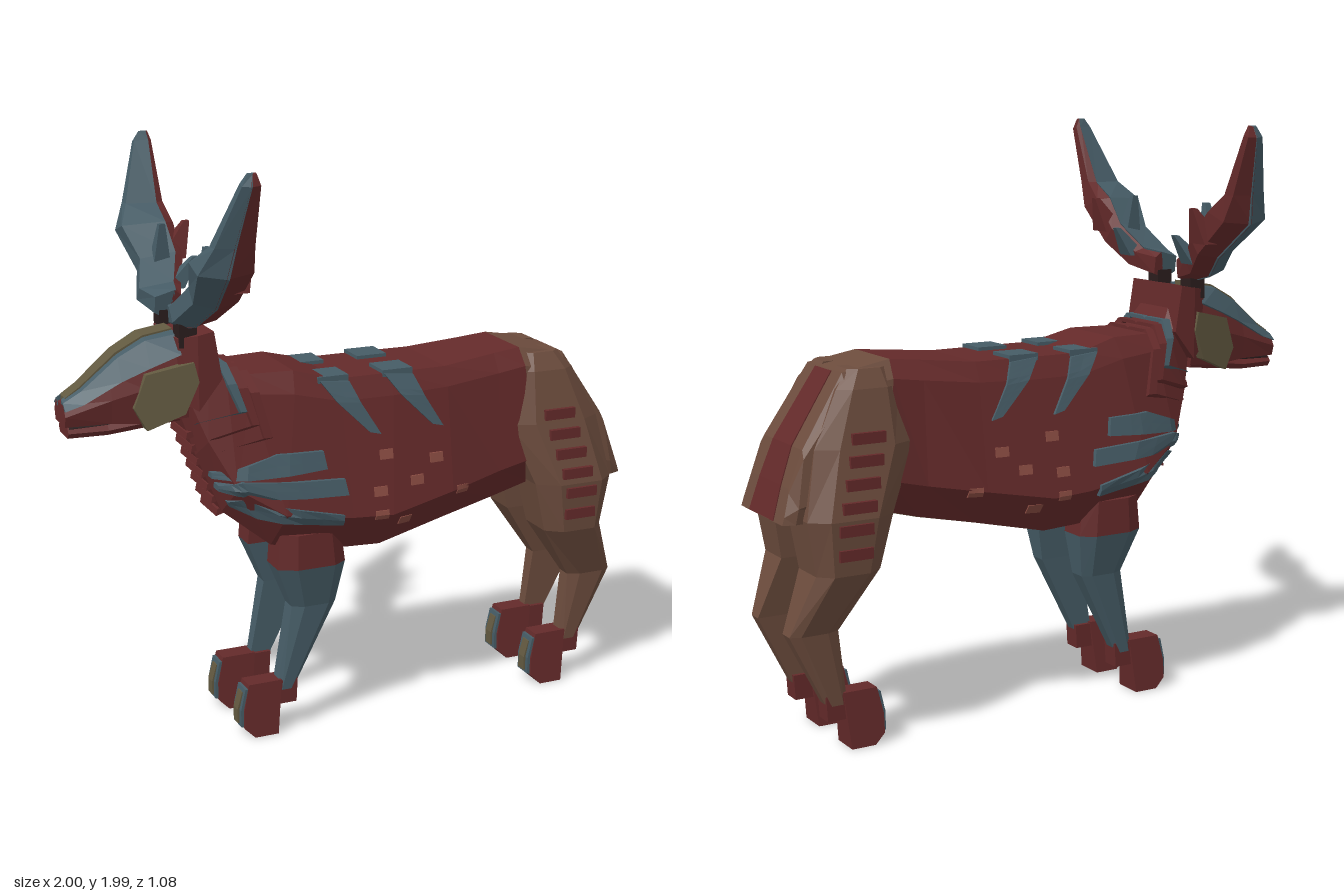
import * as THREE from 'three';

const mat = (color) => new THREE.MeshStandardMaterial({ color, flatShading: true });
const RED = mat(0x642a2a), BLUE = mat(0x465c66), BROWN = mat(0x6c4c3d),
  OLIVE = mat(0x625940), DARK = mat(0x2b1d1d), SPOT = mat(0x8a4c42);
const lerp = THREE.MathUtils.lerp;

// Closed solid through rings of [x, y, z] points; winding is fixed by the sign of its volume.
function loft(rings) {
  const tris = [], n = rings[0].length;
  for (let r = 0; r + 1 < rings.length; r++) {
    for (let i = 0; i < n; i++) {
      const j = (i + 1) % n, a = rings[r], b = rings[r + 1];
      tris.push([a[i], a[j], b[j]], [a[i], b[j], b[i]]);
    }
  }
  [rings[0], rings[rings.length - 1]].forEach((ring, end) => {
    const c = [0, 1, 2].map((k) => ring.reduce((s, p) => s + p[k], 0) / n);
    ring.forEach((p, i) => {
      const q = ring[(i + 1) % n];
      tris.push(end ? [c, p, q] : [c, q, p]);
    });
  });
  let volume = 0;
  for (const [a, b, c] of tris) {
    volume += a[0] * (b[1] * c[2] - b[2] * c[1]) + a[1] * (b[2] * c[0] - b[0] * c[2]) + a[2] * (b[0] * c[1] - b[1] * c[0]);
  }
  if (volume < 0) tris.forEach((t) => t.reverse());
  const g = new THREE.BufferGeometry();
  g.setAttribute('position', new THREE.Float32BufferAttribute(tris.flat(2), 3));
  g.computeVertexNormals();
  return g;
}

// Body sections: top x, top y, bottom x, bottom y, then half widths from top to bottom.
const SECTIONS = [
  [-0.52, 1.36, -0.61, 1.13, 0.08, 0.11, 0.10, 0.05],
  [-0.47, 1.28, -0.57, 1.00, 0.11, 0.145, 0.14, 0.07],
  [-0.40, 1.27, -0.49, 0.80, 0.125, 0.165, 0.20, 0.09],
  [-0.25, 1.27, -0.34, 0.68, 0.14, 0.18, 0.255, 0.15],
  [-0.10, 1.23, -0.08, 0.645, 0.155, 0.185, 0.26, 0.18],
  [0.10, 1.23, 0.05, 0.635, 0.155, 0.185, 0.265, 0.17],
  [0.30, 1.23, 0.30, 0.69, 0.15, 0.18, 0.235, 0.15],
  [0.50, 1.25, 0.50, 0.73, 0.13, 0.17, 0.195, 0.13],
  [0.60, 1.26, 0.65, 0.77, 0.125, 0.165, 0.20, 0.13],
  [0.77, 1.23, 0.76, 0.77, 0.13, 0.165, 0.20, 0.15],
  [0.92, 1.00, 0.96, 0.77, 0.15, 0.17, 0.185, 0.18],
  [0.965, 0.88, 1.00, 0.77, 0.14, 0.15, 0.165, 0.165],
];
const LEVELS = [1, 0.88, 0.22, 0];
const sectionRing = ([xt, yt, xb, yb, ...w]) => {
  const half = LEVELS.map((t, i) => [lerp(xb, xt, t), lerp(yb, yt, t), w[i]]);
  return [...half, ...half.slice().reverse().map(([x, y, z]) => [x, y, -z])];
};

// Half width of the body at a point of its side.
function flank(x, y) {
  const at = SECTIONS.map(([xt, yt, xb, yb, ...w]) => {
    const t = THREE.MathUtils.clamp((y - yb) / (yt - yb), 0, 1);
    const i = t > LEVELS[1] ? 0 : t > LEVELS[2] ? 1 : 2;
    return [lerp(xb, xt, t), lerp(w[i + 1], w[i], (t - LEVELS[i + 1]) / (LEVELS[i] - LEVELS[i + 1]))];
  });
  let k = 0;
  while (k < at.length - 2 && at[k + 1][0] < x) k++;
  const s = THREE.MathUtils.clamp((x - at[k][0]) / (at[k + 1][0] - at[k][0]), 0, 1);
  return lerp(at[k][1], at[k + 1][1], s);
}

// Plate between two edges that follows the flank: each edge is a path with the same number of points.
function plate(edgeA, edgeB, lift) {
  const rings = [];
  for (let i = 0; i + 1 < edgeA.length; i++) {
    for (let s = i ? 1 : 0; s <= 4; s++) {
      const [a, b] = [edgeA, edgeB].map((e) => [0, 1].map((k) => lerp(e[i][k], e[i + 1][k], s / 4)));
      const m = [(a[0] + b[0]) / 2, (a[1] + b[1]) / 2];
      const at = ([x, y], d) => [x, y, flank(x, y) + d];
      rings.push([at(a, lift), at(m, lift), at(b, lift), at(b, -0.03), at(a, -0.03)]);
    }
  }
  return loft(rings);
}
const prism = (outline, z0, z1) => loft([z0, z1].map((z) => outline.map(([x, y]) => [x, y, z])));
const rect = (x, y, w, h) => [[x - w, y - h], [x + w, y - h], [x + w, y + h], [x - w, y + h]];
const bar = (path, w, d) => loft(path.map(([x, y, z]) => [[x - w, y, z - d], [x + w, y, z - d], [x + w, y + d, z + d], [x - w, y + d, z + d]]));

// Legs: y, front x, back x, inner z, outer z.
const THIGH = [[1.24, 0.61, 0.75, 0.05, 0.15], [1.18, 0.58, 0.8, 0.05, 0.18], [1.0, 0.54, 0.89, 0.05, 0.215],
  [0.78, 0.635, 0.935, 0.06, 0.26], [0.6, 0.68, 0.905, 0.07, 0.245], [0.4, 0.81, 0.98, 0.10, 0.17]];
const HOCK = [[0.4, 0.81, 0.98, 0.10, 0.17], [0.15, 0.78, 0.855, 0.11, 0.16]];
const SHOULDER = [[0.72, -0.32, -0.1, 0.09, 0.215], [0.6, -0.33, -0.085, 0.09, 0.22]];
const FORELEG = [[0.6, -0.33, -0.085, 0.09, 0.22], [0.45, -0.27, -0.11, 0.10, 0.18], [0.15, -0.325, -0.26, 0.11, 0.16]];
const leg = (rows) => loft(rows.map(([y, f, b, zi, zo]) => {
  const w = b - f, m = lerp(zi, zo, 0.75);
  return [[f, y, zi], [f, y, m], [f + w * 0.25, y, zo], [b - w * 0.2, y, zo], [b, y, m], [b, y, zi]];
}));

// Antler stations: lower-edge z, y, upper-edge z, y, front x, back x.
const ANTLER = [[0.075, 1.43, 0.06, 1.53, -0.65, -0.56], [0.20, 1.46, 0.14, 1.54, -0.675, -0.53], [0.30, 1.535, 0.23, 1.62, -0.64, -0.49],
  [0.455, 1.66, 0.31, 1.71, -0.67, -0.49], [0.48, 1.76, 0.40, 1.76, -0.63, -0.5], [0.54, 1.95, 0.50, 1.96, -0.565, -0.505], [0.525, 1.985, 0.515, 1.99, -0.545, -0.515]];
// Cross-section corners as fractions from front to back and from lower to upper edge.
const PLATING = [[0, 0.25], [0.5, 0], [0.8, 1], [0, 0.8]], CORE = [[0.45, 0.02], [1, 0.2], [1, 0.8], [0.75, 0.98]];
const antler = (corners) => loft(ANTLER.map(([z0, y0, z1, y1, f, b]) =>
  corners.map(([u, v]) => [lerp(f, b, u), lerp(y0, y1, v), lerp(z0, z1, v)])));
const tine = (x, y, z, r, tip) => loft([[x, y, z, r], [...tip, 0.01]].map(([cx, cy, cz, s]) =>
  [[-1, -1], [1, -1], [1, 1], [-1, 1]].map(([i, k]) => [cx + i * s, cy, cz + k * s])));

// Head rings: x, top y, bottom y, half widths at top, middle and bottom.
const headLoft = (rows) => loft(rows.map(([x, t, b, wt, wm, wb]) => {
  const m = (t + b) / 2;
  return [[x, t, wt], [x, m, wm], [x, b, wb], [x, b, -wb], [x, m, -wm], [x, t, -wt]];
}));

export function createModel() {
  const model = new THREE.Group();
  const add = (name, geometry, material, parent = model) => {
    const mesh = new THREE.Mesh(geometry, material);
    mesh.name = name;
    parent.add(mesh);
  };
  // Adds the part and its mirror image across the body's centre plane.
  const pair = (name, geometry, material) => {
    const group = new THREE.Group();
    group.name = name + 'Pair';
    add(name, geometry, material, group);
    const p = geometry.attributes.position.array, m = new Float32Array(p.length);
    for (let i = 0; i < p.length; i += 9) {
      [0, 6, 3].forEach((from, k) => m.set([p[i + from], p[i + from + 1], -p[i + from + 2]], i + k * 3));
    }
    const mirrored = new THREE.BufferGeometry();
    mirrored.setAttribute('position', new THREE.BufferAttribute(m, 3));
    mirrored.computeVertexNormals();
    add(name, mirrored, material, group);
    model.add(group);
  };

  // Trunk, rump with its red centre stripe, and belly
  add('trunk', loft(SECTIONS.slice(0, 9).map(sectionRing)), RED);
  add('rump', loft(SECTIONS.slice(8).map(sectionRing)), BROWN);
  add('rumpStripe', loft([[0.775, 1.228], [0.923, 1.002], [0.968, 0.882], [1.002, 0.772]].map(([x, y], i) => {
    const w = 0.06 + i * 0.012;
    return [[x, y, w], [x, y, -w], [x - 0.05, y - 0.02, -w], [x - 0.05, y - 0.02, w]];
  })), RED);
  add('belly', loft(SECTIONS.slice(4, 9).map(([, , x, y, , , , w]) =>
    [[x, y - 0.004, w * 0.85], [x, y - 0.004, -w * 0.85], [x, y + 0.03, -w * 0.85], [x, y + 0.03, w * 0.85]])), OLIVE);

  // Legs and feet
  pair('thigh', leg(THIGH), BROWN);
  pair('hindShin', leg(HOCK), BROWN);
  pair('shoulder', leg(SHOULDER), RED);
  pair('foreleg', leg(FORELEG), BLUE);
  for (const dx of [0, -1.11]) {
    const shift = (pts) => pts.map(([x, y]) => [x + dx, y]);
    const toe = shift([[0.68, 0.19], [0.8, 0.19], [0.78, 0], [0.695, 0], [0.66, 0.035], [0.66, 0.1]]);
    pair('foot', loft([0, 1].map((side) => toe.map(([x, y]) =>
      [x, y, side ? lerp(0.18, 0.163, y / 0.19) : lerp(0.075, 0.093, y / 0.19)]))), RED);
    pair('heel', prism(shift([[0.77, 0.185], [0.86, 0.185], [0.855, 0.1], [0.77, 0.1]]), 0.095, 0.16), RED);
    pair('toeRim', prism(shift([[0.667, 0.175], [0.7, 0.175], [0.69, 0.03], [0.65, 0.04], [0.65, 0.1]]), 0.092, 0.163), BLUE);
    pair('toePlate', prism(shift([[0.66, 0.16], [0.69, 0.16], [0.68, 0.05], [0.643, 0.05], [0.643, 0.1]]), 0.108, 0.147), OLIVE);
  }

  // Thigh ribs
  [[0.72, 1.03], [0.735, 0.96], [0.755, 0.89], [0.775, 0.82], [0.79, 0.75], [0.79, 0.67]].forEach(([x, y]) => {
    const z = y > 0.78 ? lerp(0.26, 0.215, (y - 0.78) / 0.22) : lerp(0.245, 0.26, (y - 0.6) / 0.18);
    pair('thighRib', prism(rect(x, y, 0.058, 0.018), z - 0.05, z + 0.013), RED);
  });

  // Chest plates: upper edge, lower edge
  [[[[-0.535, 0.95], [-0.34, 1.015], [-0.18, 1.01]], [[-0.535, 0.93], [-0.35, 0.94], [-0.17, 0.95]]],
    [[[-0.52, 0.91], [-0.46, 0.93], [-0.11, 0.91]], [[-0.52, 0.89], [-0.42, 0.87], [-0.1, 0.855]]],
    [[[-0.49, 0.85], [-0.44, 0.865], [-0.12, 0.79]], [[-0.48, 0.83], [-0.4, 0.79], [-0.12, 0.75]]],
  ].forEach(([top, bottom]) => pair('chestPlate', plate(top, bottom, 0.016), BLUE));

  // Back plates with stripes running down the flank, and flank spots
  for (const dx of [0, 0.235]) {
    pair('backPlate', loft([1.2, 1.242].map((y) => [[-0.17 + dx, y, 0.05], [-0.06 + dx, y, 0.05], [-0.06 + dx, y, 0.16], [-0.17 + dx, y, 0.16]])), BLUE);
    pair('backStripe', plate([[-0.165 + dx, 1.23], [-0.115 + dx, 1.16], [-0.005 + dx, 1.05]], [[-0.06 + dx, 1.22], [-0.03 + dx, 1.15], [0.035 + dx, 1.04]], 0.01), BLUE);
  }
  [[0.05, 0.97], [0.24, 0.935], [0.16, 0.87], [0.12, 0.73], [0.34, 0.81], [0.02, 0.85], [0.02, 0.77]]
    .forEach(([x, y]) => pair('flankSpot', plate([[x - 0.024, y + 0.016], [x + 0.024, y + 0.016]], [[x - 0.024, y - 0.016], [x + 0.024, y - 0.016]], 0.005), SPOT));

  // Collar bands and throat ridges
  for (let i = 0; i < 3; i++) {
    const x = -0.485 + i * 0.035, y = 1.3 - i * 0.015, low = 1.15 - i * 0.045;
    const side = (px, py) => [px, py, flank(px, py) + 0.004];
    pair('collarBand', bar([[x, y, 0], [x, y, 0.1], side(x + 0.015, y - 0.06), side(x + 0.05, low), side(x - 0.08, low - 0.04)], 0.015, 0.012), i === 0 ? BLUE : RED);
  }
  for (let i = 0; i < 7; i++) {
    const x = -0.585 + i * 0.0165, y = 1.07 - i * 0.046;
    add('throatRidge', prism([[x - 0.02, y - 0.012], [x + 0.06, y + 0.012], [x + 0.06, y + 0.032], [x - 0.015, y + 0.012]], -0.08, 0.08), RED);
  }

  // Head, jaw and face plates
  add('skull', loft([[[-0.64, 1.41], [-0.63, 1.2], 0.12], [[-0.58, 1.42], [-0.58, 1.17], 0.15], [[-0.525, 1.43], [-0.5, 1.27], 0.15]]
    .map(([t, b, w]) => [[...t, w], [...b, w], [...b, -w], [...t, -w]])), RED);
  add('muzzle', headLoft([[-1, 1.21, 1.14, 0.045, 0.065, 0.055], [-0.85, 1.3, 1.14, 0.06, 0.085, 0.07],
    [-0.74, 1.37, 1.13, 0.08, 0.105, 0.085], [-0.6, 1.4, 1.14, 0.1, 0.13, 0.1]]), RED);
  add('mouth', headLoft([[-0.985, 1.145, 1.12, 0.045, 0.05, 0.045], [-0.7, 1.16, 1.115, 0.065, 0.065, 0.065]]), DARK);
  add('jaw', headLoft([[-0.99, 1.136, 1.1, 0.045, 0.058, 0.045], [-0.86, 1.136, 1.1, 0.055, 0.07, 0.055], [-0.62, 1.17, 1.125, 0.08, 0.09, 0.07]]), RED);
  pair('brow', loft([[-1, 1.225, 1.195, 0.07], [-0.94, 1.26, 1.215, 0.08], [-0.82, 1.36, 1.28, 0.095], [-0.73, 1.41, 1.32, 0.115], [-0.63, 1.425, 1.36, 0.135]]
    .map(([x, t, b, w]) => [[x, t, 0.02], [x, t - 0.008, w * 0.6], [x, b, w], [x, b, 0.02]])), BLUE);
  add('noseRidge', loft([[-0.99, 1.23, 0.03], [-0.94, 1.263, 0.03], [-0.82, 1.365, 0.035], [-0.73, 1.413, 0.04], [-0.63, 1.428, 0.04]]
    .map(([x, y, w]) => [[x, y, w], [x, y, -w], [x, y - 0.05, -w], [x, y - 0.05, w]])), OLIVE);
  pair('cheek', loft([0.008, -0.06].map((d) => [[-0.785, 1.19], [-0.745, 1.3], [-0.595, 1.335], [-0.58, 1.27], [-0.625, 1.165], [-0.745, 1.115]]
    .map(([x, y]) => [x, y, lerp(0.095, 0.15, (x + 0.8) / 0.22) + d]))), OLIVE);

  // Antlers with blue front plating and short tines
  pair('antlerStem', prism(rect(-0.605, 1.43, 0.03, 0.05), 0.07, 0.13), DARK);
  pair('antlerPlating', antler(PLATING), BLUE);
  pair('antlerCore', antler(CORE), RED);
  pair('innerTine', tine(-0.57, 1.58, 0.25, 0.03, [-0.57, 1.72, 0.22]), BLUE);
  pair('lowTine', tine(-0.55, 1.51, 0.19, 0.035, [-0.47, 1.61, 0.18]), BLUE);
  pair('rearTine', tine(-0.52, 1.59, 0.3, 0.045, [-0.458, 1.71, 0.3]), RED);
  return model;
}
